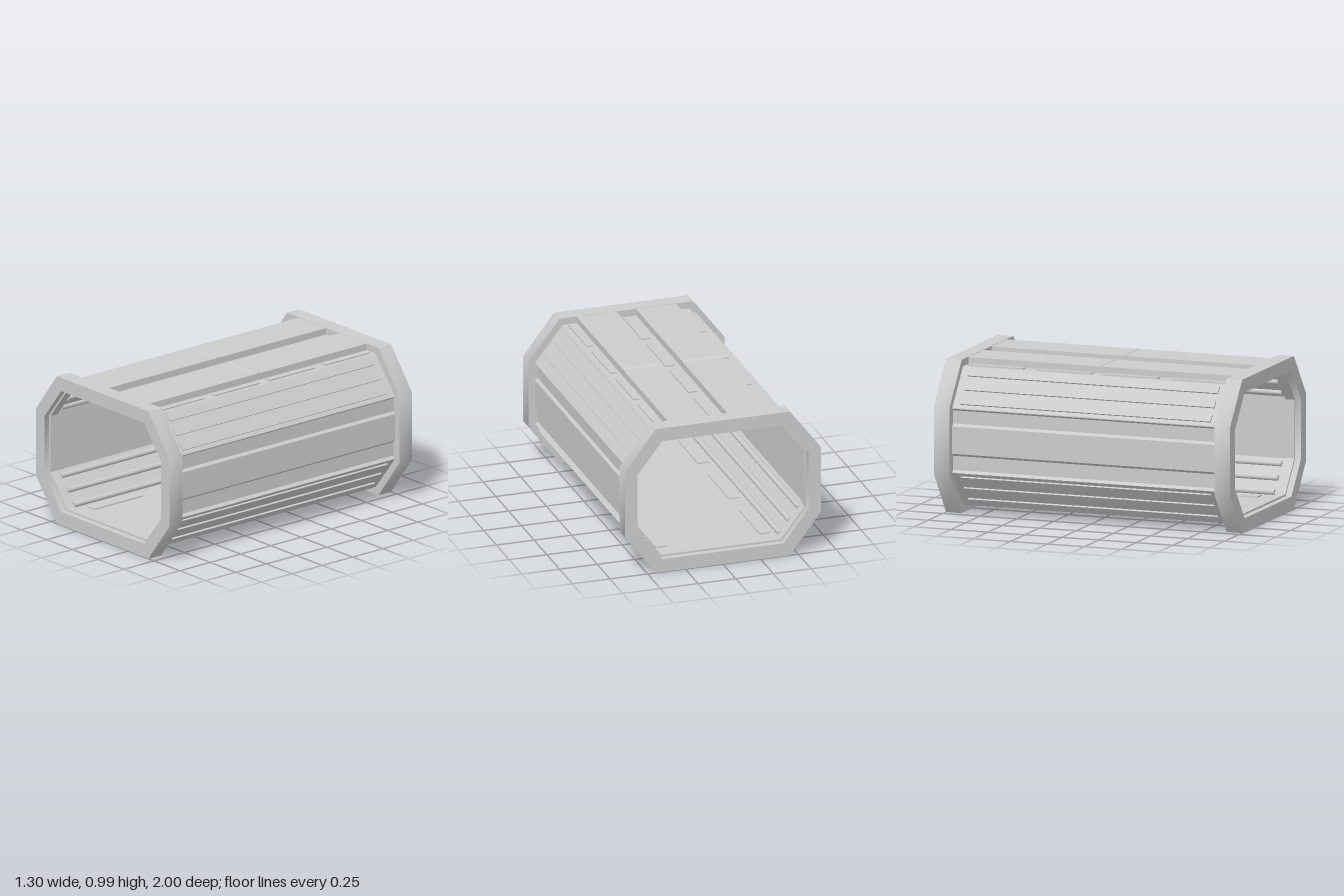
import * as THREE from 'three';
import { toCreasedNormals } from 'three/addons/utils/BufferGeometryUtils.js';

const MID = 0.4925; // height of the mirror plane of the diagonal walls

export function createModel() {
  const model = new THREE.Group();
  const material = new THREE.MeshStandardMaterial({ color: 0xcccccc, flatShading: true });
  const smooth = new THREE.MeshStandardMaterial({ color: 0xcccccc });

  const add = (name, geometry, x = 0, y = 0, z = 0, mat = material) => {
    const mesh = new THREE.Mesh(geometry, mat);
    mesh.name = name;
    mesh.position.set(x, y, z);
    model.add(mesh);
    return mesh;
  };
  // Right half of an outline (top to bottom), mirrored to a closed loop
  const mirrored = (half) => [...half, ...half.map(([x, y]) => [-x, y]).reverse()]
    .map(([x, y]) => new THREE.Vector2(x, y));
  const octagon = (xFlat, xSide, y0, y1, y2, y3) =>
    [[xFlat, y3], [xSide, y2], [xSide, y1], [xFlat, y0]];
  // Ring between two outlines, extruded from z0 to z1
  const ring = (outer, inner, z0, z1) => {
    const shape = new THREE.Shape(mirrored(outer).reverse());
    shape.holes.push(new THREE.Path(mirrored(inner)));
    return new THREE.ExtrudeGeometry(shape, { depth: z1 - z0, bevelEnabled: false }).translate(0, 0, z0);
  };

  // Hull: raised roof slabs, grooved side walls and diagonal walls
  const hullOuter = [
    [0.065, 0.935], [0.065, 0.978], [0.33, 0.978], [0.33, 0.935], [0.42, 0.935],
    [0.607, 0.7], [0.607, 0.695], [0.59, 0.683], [0.59, 0.598], [0.607, 0.583],
    [0.607, 0.407], [0.59, 0.392], [0.59, 0.302], [0.607, 0.285], [0.42, 0.05],
  ];
  const hullInner = [
    [0.07, 0.9], [0.07, 0.945], [0.325, 0.945], [0.325, 0.9], [0.41, 0.9],
    [0.575, 0.69], [0.575, 0.295], [0.41, 0.082],
  ];
  add('hull', ring(hullOuter, hullInner, -0.9, 0.9));

  // End frames with a stepped inner lip; the shallow corners are shaded soft
  const frameOuter = octagon(0.445, 0.65, 0, 0.27, 0.712, 0.98);
  const opening = octagon(0.403, 0.567, 0.088, 0.3, 0.682, 0.892);
  const lipOuter = octagon(0.405, 0.572, 0.084, 0.298, 0.684, 0.896);
  const lipInner = octagon(0.397, 0.555, 0.1, 0.303, 0.678, 0.88);
  for (const s of [1, -1]) {
    const span = (a, b) => (s > 0 ? [a, b] : [-b, -a]);
    const frame = toCreasedNormals(ring(frameOuter, opening, ...span(0.895, 1)), 0.8);
    add('endFrame', frame, 0, 0, 0, smooth);
    add('frameLip', ring(lipOuter, lipInner, ...span(0.9, 0.96)));
  }

  // Diagonal walls: three outer ribs and three inner pipes on each
  const slope = Math.atan2(0.19, 0.245);
  for (const side of [1, -1]) {
    for (const up of [1, -1]) {
      for (const ribY of [0.9, 0.82, 0.74]) {
        const ribX = 0.42 + (0.935 - ribY) * 0.79;
        const flip = (y) => (up > 0 ? y : 2 * MID - y);
        const rib = add('wallRib', new THREE.BoxGeometry(0.024, 0.05, 1.69), side * ribX, flip(ribY));
        rib.rotation.z = side * up * slope;
        const pipe = add('wallPipe', new THREE.CylinderGeometry(0.018, 0.018, 1.76, 16),
          side * (ribX - 0.026), flip(ribY - 0.02), 0, smooth);
        pipe.rotation.x = Math.PI / 2;
      }
    }
  }

  // Raised plates in the roof channels, inside and out
  for (const z of [-0.685, -0.225, 0.225, 0.685]) {
    for (const [x, w] of [[-0.375, 0.04], [0, 0.06], [0.375, 0.04]]) {
      add('roofPlate', new THREE.BoxGeometry(w, 0.018, 0.37), x, 0.935, z);
      add('ceilingPlate', new THREE.BoxGeometry(w, 0.014, 0.37), x, 0.899, z);
    }
  }

  // Floor plates, showing above and below the floor
  for (const x of [-0.345, 0.345]) {
    for (const z of [-0.605, 0, 0.605]) {
      add('floorPlate', new THREE.BoxGeometry(0.07, 0.05, 0.4), x, 0.066, z);
    }
  }

  // Small ridge across the middle of each roof slab
  const ridge = new THREE.Shape([[-0.01, 0.977], [0.02, 0.977], [0, 0.985]]
    .map(([z, y]) => new THREE.Vector2(z, y)));
  for (const x of [-0.33, 0.065]) {
    const geometry = new THREE.ExtrudeGeometry(ridge, { depth: 0.265, bevelEnabled: false });
    add('roofRidge', geometry.rotateY(Math.PI / 2), x);
  }
  return model;
}
